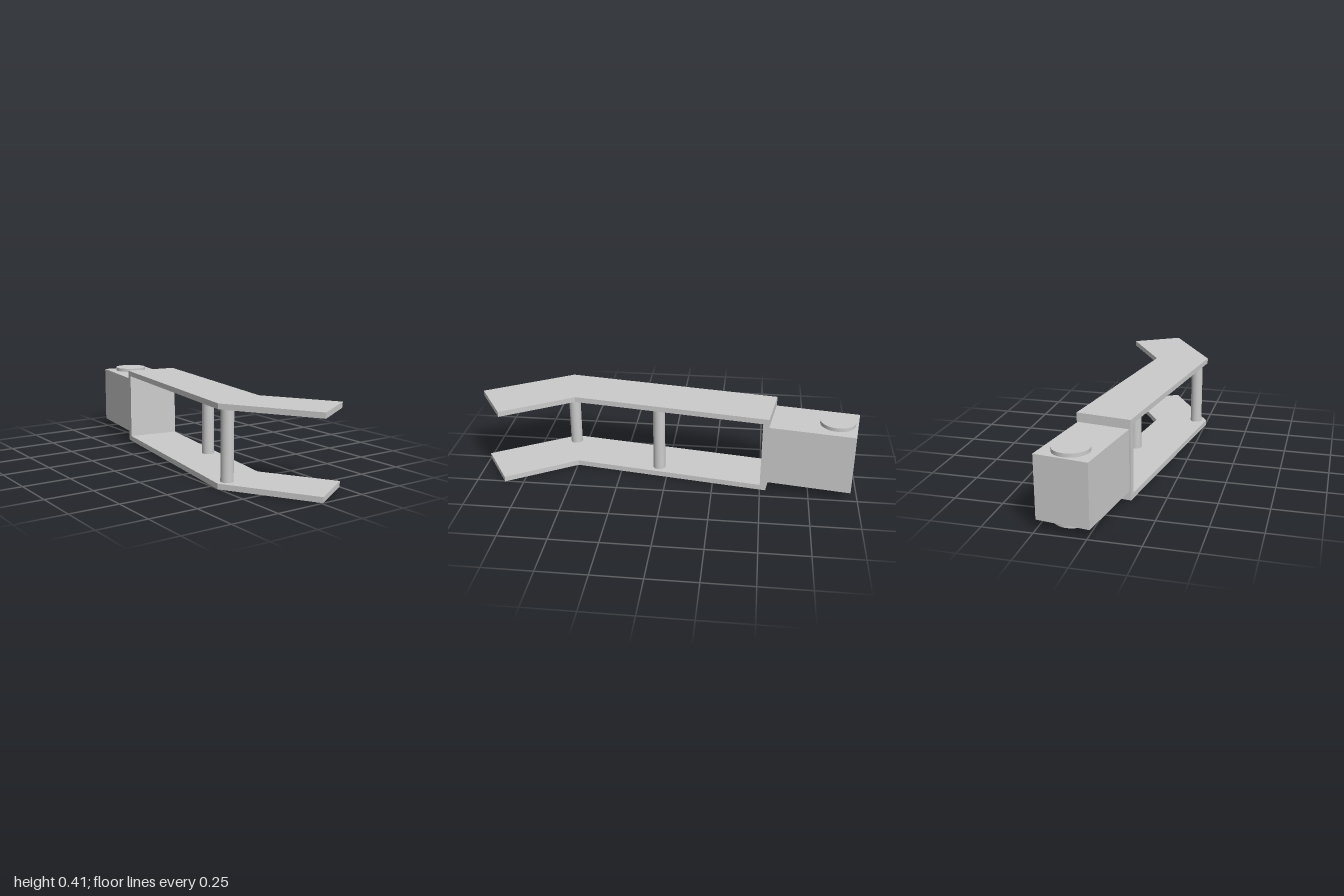
import * as THREE from 'three';

const PLATE = 0.028, HEIGHT = 0.413;
const material = new THREE.MeshStandardMaterial({ color: 0xcccccc });

// Prism from an outline of [x, z] corners, between two heights
function prism(name, outline, y0, y1) {
  const shape = new THREE.Shape(outline.map(([x, z]) => new THREE.Vector2(x, -z)));
  const geometry = new THREE.ExtrudeGeometry(shape, { depth: y1 - y0, bevelEnabled: false });
  geometry.rotateX(-Math.PI / 2).translate(0, y0, 0);
  const mesh = new THREE.Mesh(geometry, material);
  mesh.name = name;
  return mesh;
}

// Upright cylinder at (x, z), between two heights
function post(name, x, z, radius, y0, y1) {
  const mesh = new THREE.Mesh(new THREE.CylinderGeometry(radius, radius, y1 - y0, 48), material);
  mesh.position.set(x, (y0 + y1) / 2, z);
  mesh.name = name;
  return mesh;
}

export function createModel() {
  const group = new THREE.Group();
  group.name = 'bentArm';

  // Two matching bent plates
  const plate = [[-0.087, -0.571], [0.191, -0.53], [0.036, 0.495], [0.254, 0.85], [0.01, 1], [-0.255, 0.56]];
  group.add(prism('lowerPlate', plate, 0, PLATE));
  group.add(prism('upperPlate', plate, HEIGHT - PLATE, HEIGHT));

  // Wall closing the back end between the plates
  const wall = [[-0.087, -0.571], [0.191, -0.53], [0.1865, -0.5], [-0.0915, -0.541]];
  group.add(prism('endWall', wall, PLATE, HEIGHT - PLATE));

  // Solid block behind the wall
  const block = [[-0.014, -1], [0.251, -0.961], [0.186, -0.531], [-0.079, -0.57]];
  group.add(prism('pivotBlock', block, 0.048, 0.366));

  // Pivot pin showing above and below the block
  group.add(post('pivotPin', 0.102, -0.879, 0.09, PLATE, HEIGHT - PLATE));

  // Spacer posts between the plates
  for (const [name, x, z] of [['frontPost', -0.195, 0.552], ['middlePost', 0.05, 0.045]]) {
    group.add(post(name, x, z, 0.032, PLATE, HEIGHT - PLATE));
  }
  return group;
}
